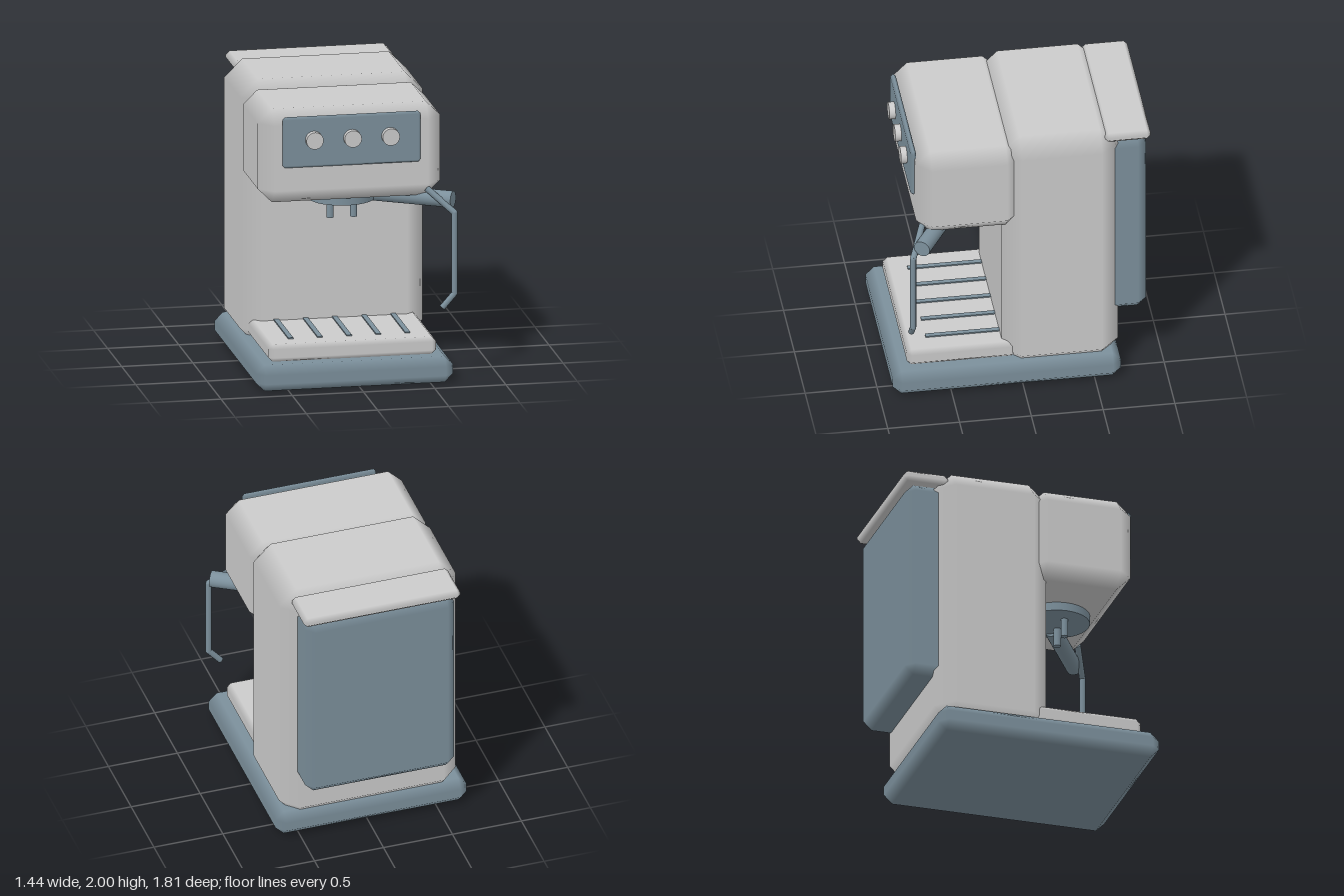
import * as THREE from 'three';
import { ConvexGeometry } from 'three/addons/geometries/ConvexGeometry.js';

const grey = new THREE.MeshStandardMaterial({ color: 0xcccccc });
const slate = new THREE.MeshStandardMaterial({ color: 0x7c909c });

// Box with a single chamfer of width c; flat faces, shading blended across chamfers
function chamferBox(w, h, d, c) {
  const half = [w / 2, h / 2, d / 2];
  const points = [];
  for (let axis = 0; axis < 3; axis++)
    for (const sx of [-1, 1]) for (const sy of [-1, 1]) for (const sz of [-1, 1]) {
      const p = [sx, sy, sz].map((s, i) => s * (half[i] - (i === axis ? 0 : c)));
      points.push(new THREE.Vector3(...p));
    }
  const geo = new ConvexGeometry(points);
  const pos = geo.attributes.position, normal = geo.attributes.normal;
  for (let i = 0; i < pos.count; i++) {
    const p = [pos.getX(i), pos.getY(i), pos.getZ(i)];
    const rel = p.map((v, k) => Math.abs(v) / half[k]);
    const axis = rel.indexOf(Math.max(...rel));
    normal.setXYZ(i, ...p.map((v, k) => (k === axis ? Math.sign(v) : 0)));
  }
  return geo;
}

export function createModel() {
  const model = new THREE.Group();
  model.name = 'coffeeMachine';

  const add = (name, geo, mat, x, y, z, parent = model) => {
    const mesh = new THREE.Mesh(geo, mat);
    mesh.name = name;
    mesh.position.set(x, y, z);
    parent.add(mesh);
    return mesh;
  };

  // Chamfered block given by its extents on each axis
  const block = (name, mat, [x0, x1], [y0, y1], [z0, z1], c) =>
    add(name, chamferBox(x1 - x0, y1 - y0, z1 - z0, c), mat, (x0 + x1) / 2, (y0 + y1) / 2, (z0 + z1) / 2);

  // Cylinder between two points
  const up = new THREE.Vector3(0, 1, 0);
  const rod = (name, mat, a, b, r, sides, parent = model) => {
    const dir = b.clone().sub(a);
    const mid = a.clone().add(b).multiplyScalar(0.5);
    const mesh = add(name, new THREE.CylinderGeometry(r, r, dir.length(), sides), mat, mid.x, mid.y, mid.z, parent);
    mesh.quaternion.setFromUnitVectors(up, dir.normalize());
    return mesh;
  };
  const v = (x, y, z) => new THREE.Vector3(x, y, z);

  // Housing
  block('base', slate, [-0.725, 0.66], [0, 0.185], [-0.685, 0.905], 0.06);
  block('body', grey, [-0.67, 0.61], [0.105, 2], [-0.68, 0.13], 0.125);
  block('head', grey, [-0.67, 0.61], [1.285, 1.95], [0.005, 0.73], 0.1);
  block('waterTank', slate, [-0.57, 0.51], [0.465, 1.9], [-0.88, -0.595], 0.06);
  block('tankLid', grey, [-0.597, 0.537], [1.905, 1.975], [-0.905, -0.585], 0.027);

  // Drip tray with slots
  block('dripTray', grey, [-0.622, 0.555], [0.185, 0.308], [0.035, 0.795], 0.031);
  for (let i = 0; i < 5; i++)
    add('traySlot', new THREE.BoxGeometry(0.036, 0.02, 0.56), slate, -0.44 + i * 0.205, 0.307, 0.365);

  // Control panel with knobs
  block('controlPanel', slate, [-0.517, 0.453], [1.552, 1.913], [0.718, 0.757], 0.018);
  for (const x of [-0.3, -0.032, 0.235])
    rod('knob', grey, v(x, 1.75, 0.74), v(x, 1.75, 0.8), 0.06, 32);

  // Brew group and twin spouts
  rod('brewGroup', slate, v(-0.03, 1.225, 0.365), v(-0.03, 1.31, 0.365), 0.23, 32);
  for (const x of [-0.115, 0.05])
    rod('spout', slate, v(x, 1.095, 0.395), v(x, 1.24, 0.395), 0.025, 16);

  // Filter handle
  rod('filterHandle', slate, v(0.13, 1.263, 0.38), v(0.685, 1.263, 0.715), 0.058, 24);

  // Bent steam wand
  const wand = new THREE.Group();
  wand.name = 'steamWand';
  model.add(wand);
  const path = [v(0.505, 1.345, 0.685), v(0.683, 1.185, 0.775), v(0.683, 0.61, 0.775), v(0.597, 0.512, 0.775)];
  for (let i = 0; i < 3; i++) {
    rod('wandSection', slate, path[i], path[i + 1], 0.022, 8, wand);
    if (i) add('wandJoint', new THREE.SphereGeometry(0.022, 8, 6), slate, ...path[i].toArray(), wand);
  }

  return model;
}
